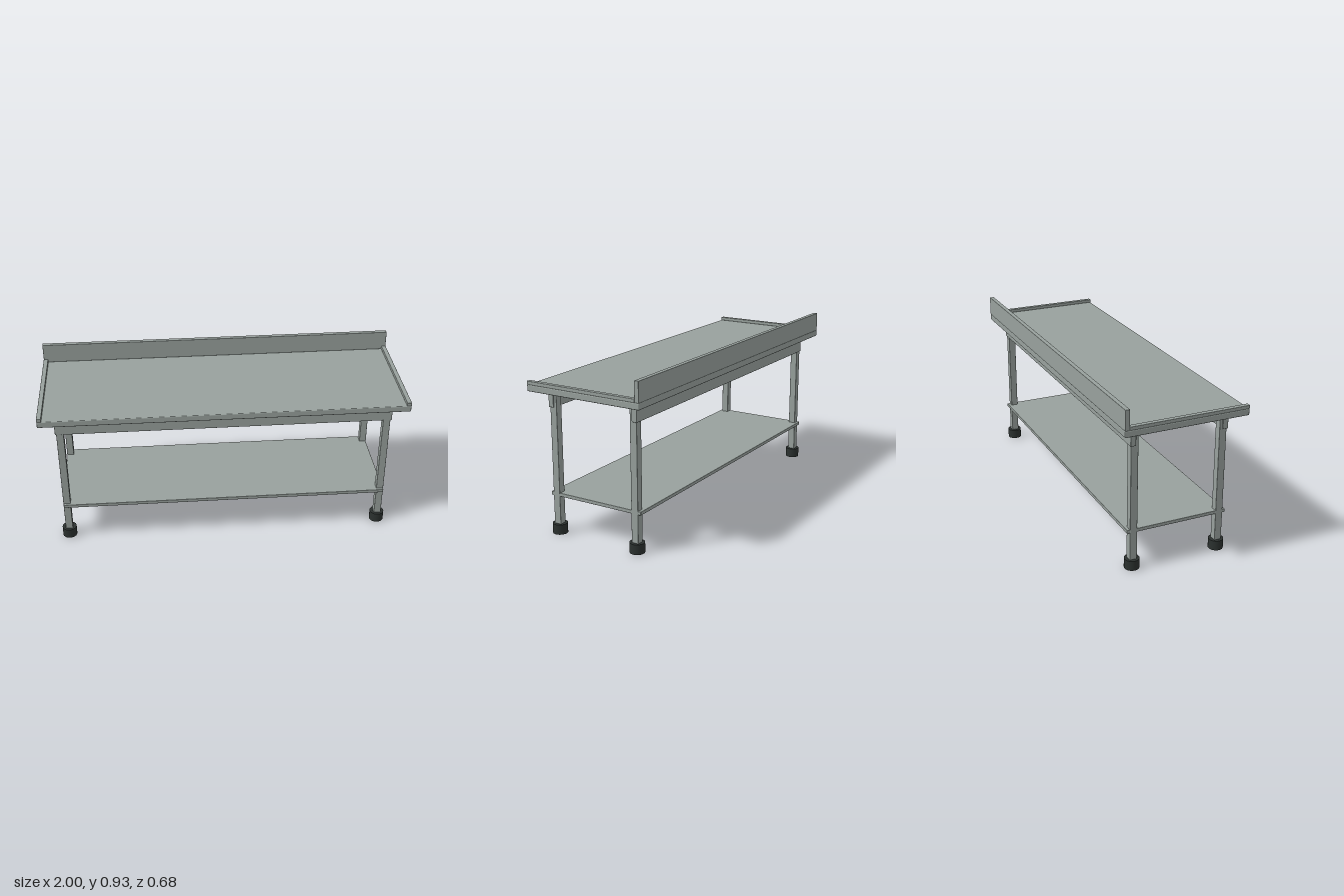
import * as THREE from 'three';
import { RoundedBoxGeometry } from 'three/addons/geometries/RoundedBoxGeometry.js';

export function createModel() {
  const model = new THREE.Group();
  model.name = 'workTable';

  const steel = new THREE.MeshStandardMaterial({ color: 0x98a19d });
  steel.name = 'brushed steel';
  const rubber = new THREE.MeshStandardMaterial({ color: 0x2b312f });
  rubber.name = 'black rubber';

  // Box given by its low and high limits on each axis, with softened edges
  function bar(name, [x0, x1], [y0, y1], [z0, z1], radius = 0.002) {
    const geometry = new RoundedBoxGeometry(x1 - x0, y1 - y0, z1 - z0, 2, radius);
    const mesh = new THREE.Mesh(geometry, steel);
    mesh.name = name;
    mesh.position.set((x0 + x1) / 2, (y0 + y1) / 2, (z0 + z1) / 2);
    model.add(mesh);
  }

  // Worktop with upstand along the back
  bar('worktop', [-1, 1], [0.784, 0.819], [-0.34, 0.34], 0.005);
  bar('backsplash', [-1, 1], [0.819, 0.928], [-0.34, -0.315]);

  // Low rims at both ends of the worktop
  bar('leftRim', [0.975, 1], [0.819, 0.838], [-0.315, 0.34]);
  bar('rightRim', [-1, -0.975], [0.819, 0.838], [-0.315, 0.34]);

  // Aprons under the worktop
  bar('frontApron', [-0.918, 0.918], [0.692, 0.785], [0.241, 0.271]);
  bar('backApron', [-0.918, 0.918], [0.692, 0.785], [-0.271, -0.241]);

  // Lower shelf
  bar('shelf', [-0.91, 0.91], [0.21, 0.229], [-0.282, 0.282]);

  // Square legs on round feet
  const footGeometry = new THREE.CylinderGeometry(0.04, 0.04, 0.055, 24);
  for (const sx of [1, -1]) {
    for (const sz of [1, -1]) {
      const label = (sz > 0 ? 'front' : 'back') + (sx > 0 ? 'Left' : 'Right');
      const x = 0.892 * sx, z = 0.246 * sz;
      bar(label + 'Leg', [x - 0.02, x + 0.02], [0.05, 0.786], [z - 0.02, z + 0.02]);
      const foot = new THREE.Mesh(footGeometry, rubber);
      foot.name = label + 'Foot';
      foot.position.set(x, 0.0275, z);
      model.add(foot);
    }
  }
  return model;
}
